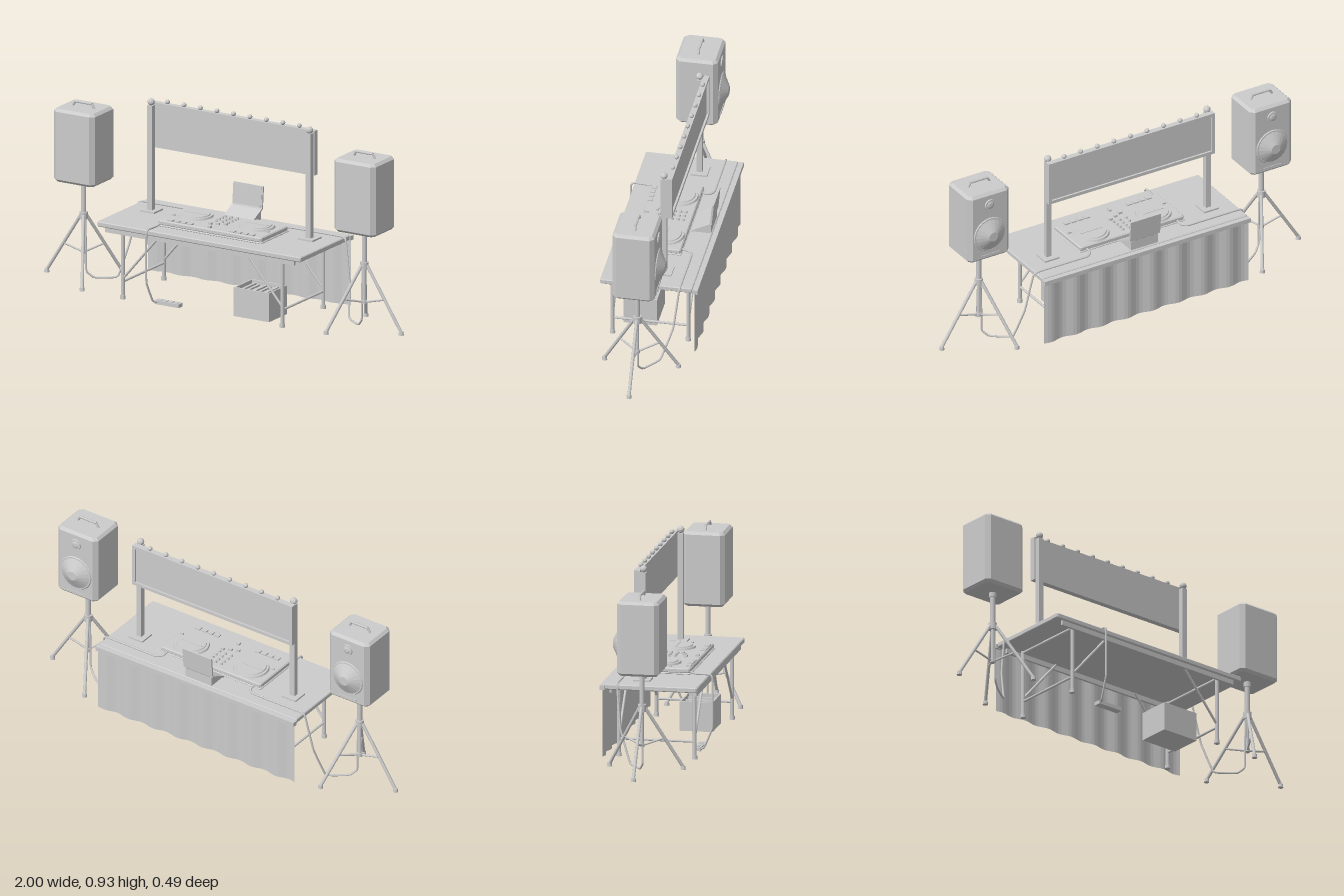
import * as THREE from 'three';

const mat = new THREE.MeshStandardMaterial({ color: 0xcccccc, flatShading: true });
const smooth = new THREE.MeshStandardMaterial({ color: 0xcccccc });
const twoSided = new THREE.MeshStandardMaterial({ color: 0xcccccc, flatShading: true, side: THREE.DoubleSide });
const V = (x, y, z) => new THREE.Vector3(x, y, z);

function add(parent, name, geo, x = 0, y = 0, z = 0, m = mat) {
  const mesh = new THREE.Mesh(geo, m);
  mesh.name = name;
  mesh.position.set(x, y, z);
  parent.add(mesh);
  return mesh;
}
function group(parent, name) {
  const g = new THREE.Group();
  g.name = name;
  parent.add(g);
  return g;
}
// Box given by its minimum and maximum corners
function box(parent, name, x0, x1, y0, y1, z0, z1) {
  return add(parent, name, new THREE.BoxGeometry(x1 - x0, y1 - y0, z1 - z0), (x0 + x1) / 2, (y0 + y1) / 2, (z0 + z1) / 2);
}
const disc = (r0, r1, h, n = 24) => new THREE.CylinderGeometry(r0, r1, h, n);
// Round bar between two points
function rod(parent, name, a, b, r, n = 10) {
  const mesh = add(parent, name, disc(r, r, a.distanceTo(b), n), 0, 0, 0, smooth);
  mesh.position.copy(a).lerp(b, 0.5);
  mesh.quaternion.setFromUnitVectors(V(0, 1, 0), b.clone().sub(a).normalize());
  return mesh;
}
// Box with every edge chamfered by c, standing on y = 0
function chamferBox(w, h, d, c) {
  const x = w / 2 - c, z = d / 2 - c;
  const corners = [[x, -z + c], [x, z - c], [x - c, z], [-x + c, z], [-x, z - c], [-x, -z + c], [-x + c, -z], [x - c, -z]];
  const shape = new THREE.Shape(corners.map(p => new THREE.Vector2(...p)));
  const geo = new THREE.ExtrudeGeometry(shape, { depth: h - 2 * c, bevelEnabled: true, bevelThickness: c, bevelSize: c, bevelSegments: 1 });
  return geo.translate(0, 0, c).rotateX(-Math.PI / 2);
}
function cable(parent, name, pts, r = 0.005) {
  const curve = new THREE.CatmullRomCurve3(pts.map(p => V(...p)), false, 'catmullrom', 0.12);
  add(parent, name, new THREE.TubeGeometry(curve, pts.length * 8, r, 7), 0, 0, 0, smooth);
}

function buildTable(root) {
  const t = group(root, 'table');
  add(t, 'tableTop', chamferBox(1.135, 0.025, 0.445, 0.004), -0.003, 0.346, 0.004);
  box(t, 'frontRail', -0.53, 0.522, 0.322, 0.347, 0.204, 0.216);
  box(t, 'backRail', -0.53, 0.522, 0.322, 0.347, -0.205, -0.193);
  for (const s of [-1, 1]) {
    const x = -0.003 + s * 0.444;
    for (const z of [0.19, -0.175]) {
      rod(t, 'leg', V(x, 0, z), V(x, 0.347, z), 0.0095);
      add(t, 'legFoot', disc(0.0125, 0.0135, 0.018, 12), x, 0.009, z);
      rod(t, 'legBrace', V(x, 0.1, z), V(x - s * 0.2, 0.335, z), 0.006);
    }
    rod(t, 'lowerCrossbar', V(x, 0.085, 0.19), V(x, 0.085, -0.175), 0.006);
    rod(t, 'upperCrossbar', V(x, 0.338, 0.19), V(x, 0.338, -0.175), 0.007);
  }
  // Pleated cloth hanging behind the table
  const cloth = new THREE.PlaneGeometry(1.13, 0.335, 64, 1);
  const p = cloth.attributes.position;
  for (let i = 0; i < p.count; i++) p.setZ(i, 0.007 * Math.sin((p.getX(i) / 1.13 + 0.5) * Math.PI * 16));
  add(t, 'pleatedSkirt', cloth, -0.003, 0.187, -0.229, twoSided);
  box(t, 'skirtHeader', -0.573, 0.567, 0.343, 0.365, -0.244, -0.218);
}

function buildSpeaker(root, s) {
  const g = group(root, s < 0 ? 'rightSpeaker' : 'leftSpeaker');
  g.position.set(s * 0.782, 0, 0.004);
  add(g, 'cabinet', chamferBox(0.23, 0.36, 0.202, 0.013), 0, 0.486, 0);
  // Drivers on the back-facing baffle
  const driver = (name, r0, r1, depth, y, z, n) => {
    add(g, name, disc(r0, r1, depth, n), 0, y, z - depth / 2).rotation.x = -Math.PI / 2;
  };
  driver('wooferRim', 0.086, 0.09, 0.006, 0.622, -0.1, 24);
  driver('wooferCone', 0.024, 0.08, 0.03, 0.622, -0.106, 20);
  driver('tweeterRim', 0.027, 0.029, 0.007, 0.783, -0.1, 18);
  driver('tweeterDome', 0.01, 0.02, 0.004, 0.783, -0.107, 18);
  box(g, 'portSlot', -0.05, 0.05, 0.506, 0.516, -0.104, -0.098);
  // Carrying handle
  const grip = [V(-0.06, 0.842, 0), V(-0.047, 0.867, 0), V(0.047, 0.867, 0), V(0.06, 0.842, 0)];
  for (let i = 0; i < 3; i++) rod(g, 'handle', grip[i], grip[i + 1], 0.006, 8);
  // Tripod stand
  rod(g, 'upperPole', V(0, 0.3, 0), V(0, 0.49, 0), 0.0125, 14);
  rod(g, 'lowerPole', V(0, 0.13, 0), V(0, 0.3, 0), 0.009, 12);
  rod(g, 'poleSocket', V(0, 0.462, 0), V(0, 0.488, 0), 0.018, 14);
  rod(g, 'poleCollar', V(0, 0.295, 0), V(0, 0.33, 0), 0.02, 14);
  rod(g, 'strutHub', V(0, 0.124, 0), V(0, 0.142, 0), 0.013, 12);
  for (let k = 0; k < 3; k++) {
    const a = k * Math.PI * 2 / 3;
    const at = (r, y) => V(s * r * Math.cos(a), y, r * Math.sin(a));
    rod(g, 'tripodLeg', at(0.014, 0.315), at(0.207, 0.01), 0.008);
    rod(g, 'tripodStrut', at(0.008, 0.133), at(0.113, 0.16), 0.005, 8);
    add(g, 'tripodFoot', disc(0.011, 0.013, 0.018, 10), ...at(0.205, 0.009).toArray());
  }
}

function buildSign(root) {
  const g = group(root, 'signStand');
  for (const s of [-1, 1]) {
    const x = -0.003 + s * 0.441;
    box(g, 'signPost', x - 0.0135, x + 0.0135, 0.37, 0.893, -0.071, -0.044);
    box(g, 'postBase', x - 0.04, x + 0.04, 0.37, 0.379, -0.1, -0.02);
    add(g, 'postFinial', new THREE.IcosahedronGeometry(0.018, 1), x, 0.909, -0.057);
  }
  box(g, 'signPanel', -0.463, 0.457, 0.683, 0.903, -0.09, -0.071);
  box(g, 'signFrameTop', -0.463, 0.457, 0.887, 0.903, -0.1, -0.09);
  box(g, 'signFrameBottom', -0.463, 0.457, 0.683, 0.699, -0.1, -0.09);
  for (const x of [-0.463, 0.441]) box(g, 'signFrameSide', x, x + 0.016, 0.699, 0.887, -0.1, -0.09);
  for (let i = -4; i <= 4; i++) add(g, 'signBulb', new THREE.IcosahedronGeometry(0.012, 1), -0.003 + i * 0.0918, 0.913, -0.085);
}

function buildMixer(root) {
  const g = group(root, 'mixingConsole');
  add(g, 'consoleBase', chamferBox(0.582, 0.008, 0.25, 0.003), 0, 0.37, 0.014);
  add(g, 'consoleBody', chamferBox(0.575, 0.024, 0.243, 0.005), 0, 0.376, 0.013);
  for (const s of [-1, 1]) {
    const x = s * 0.172;
    add(g, 'platter', disc(0.083, 0.087, 0.01, 32), x, 0.404, -0.017);
    add(g, 'platterTop', disc(0.07, 0.072, 0.005, 32), x, 0.4115, -0.017);
    box(g, 'platterMark', x - 0.06, x + 0.06, 0.413, 0.416, -0.021, -0.013);
    for (let i = 0; i < 4; i++) {
      const px = x + (i - 1.5) * 0.036;
      box(g, 'pad', px - 0.014, px + 0.014, 0.399, 0.406, 0.106, 0.129);
    }
    box(g, 'pitchFader', s * 0.262 - 0.008, s * 0.262 + 0.008, 0.399, 0.407, 0.03, 0.04);
  }
  // Knob grid and faders between the platters
  [-0.038, -0.004, 0.03].forEach((x, i) => {
    for (const z of [-0.07, -0.045, -0.018, 0.012]) add(g, 'knob', disc(0.006, 0.008, 0.012, 10), x, 0.405, z);
    const z = 0.066 - i * 0.014;
    box(g, 'channelFader', x - 0.009, x + 0.009, 0.399, 0.41, z - 0.006, z + 0.006);
  });
  box(g, 'crossFader', -0.015, -0.003, 0.399, 0.41, 0.105, 0.125);
}

function buildLaptop(root) {
  const g = group(root, 'laptop');
  g.position.x = -0.004;
  // Wedge stand: side profile runs along -z
  const side = new THREE.Shape([[0.125, 0.37], [0.212, 0.37], [0.212, 0.417], [0.125, 0.374]].map(p => new THREE.Vector2(...p)));
  const wedge = new THREE.ExtrudeGeometry(side, { depth: 0.15, bevelEnabled: false });
  add(g, 'laptopStand', wedge, -0.075, 0, 0).rotation.y = Math.PI / 2;
  add(g, 'keyboardDeck', new THREE.BoxGeometry(0.166, 0.008, 0.105), 0, 0.4, -0.166).rotation.x = 0.47;
  const lid = group(g, 'laptopLid');
  lid.position.set(0, 0.424, -0.211);
  lid.rotation.x = -0.09;
  box(lid, 'lidPanel', -0.083, 0.083, 0, 0.108, -0.006, 0.002);
  box(lid, 'screen', -0.076, 0.076, 0.008, 0.1, 0.002, 0.004);
  rod(g, 'hinge', V(-0.07, 0.424, -0.211), V(0.07, 0.424, -0.211), 0.006, 8);
}

function buildFloorItems(root) {
  // Open crate filled with upright sleeves
  const c = group(root, 'recordCrate');
  const [x0, x1, z0, z1, h, t] = [0.147, 0.345, -0.005, 0.155, 0.142, 0.008];
  box(c, 'crateFloor', x0, x1, 0, t, z0, z1);
  for (const x of [x0, x1 - t]) box(c, 'crateEnd', x, x + t, 0, h, z0, z1);
  for (const z of [z0, z1 - t]) box(c, 'crateSide', x0, x1, 0, h, z, z + t);
  for (let i = 0; i < 8; i++) {
    const x = x0 + 0.026 + i * 0.021;
    box(c, 'recordSleeve', x - 0.006, x + 0.006, t, 0.132 - (i % 3) * 0.004, z0 + 0.012, z1 - 0.012).rotation.z = -0.06;
  }
  const p = group(root, 'powerStrip');
  box(p, 'stripBody', -0.275, -0.14, 0, 0.018, 0.148, 0.184);
  for (let i = 0; i < 4; i++) box(p, 'socket', -0.262 + i * 0.03, -0.242 + i * 0.03, 0.017, 0.021, 0.156, 0.176);
}

export function createModel() {
  const root = new THREE.Group();
  root.name = 'djBooth';
  buildTable(root);
  buildSign(root);
  buildMixer(root);
  buildLaptop(root);
  buildFloorItems(root);
  for (const s of [-1, 1]) {
    buildSpeaker(root, s);
    // Signal cable from console, over the table end, to the stand
    cable(root, 'speakerCable', [
      [0.25, 0.385, -0.1], [0.25, 0.377, -0.135], [0.28, 0.376, -0.16], [0.55, 0.376, -0.16], [0.578, 0.362, -0.157],
      [0.612, 0.17, -0.135], [0.645, 0.01, -0.08], [0.735, 0.008, -0.015], [0.767, 0.04, 0.004], [0.768, 0.13, 0.004], [0.772, 0.3, 0.004],
    ].map(([x, y, z]) => [s * x, y, z]));
  }
  // Power lead over the front edge down to the strip
  cable(root, 'powerCable', [
    [-0.275, 0.385, 0.125], [-0.28, 0.376, 0.16], [-0.284, 0.376, 0.225], [-0.284, 0.36, 0.242],
    [-0.284, 0.12, 0.242], [-0.275, 0.02, 0.2], [-0.262, 0.009, 0.18],
  ]);
  return root;
}
